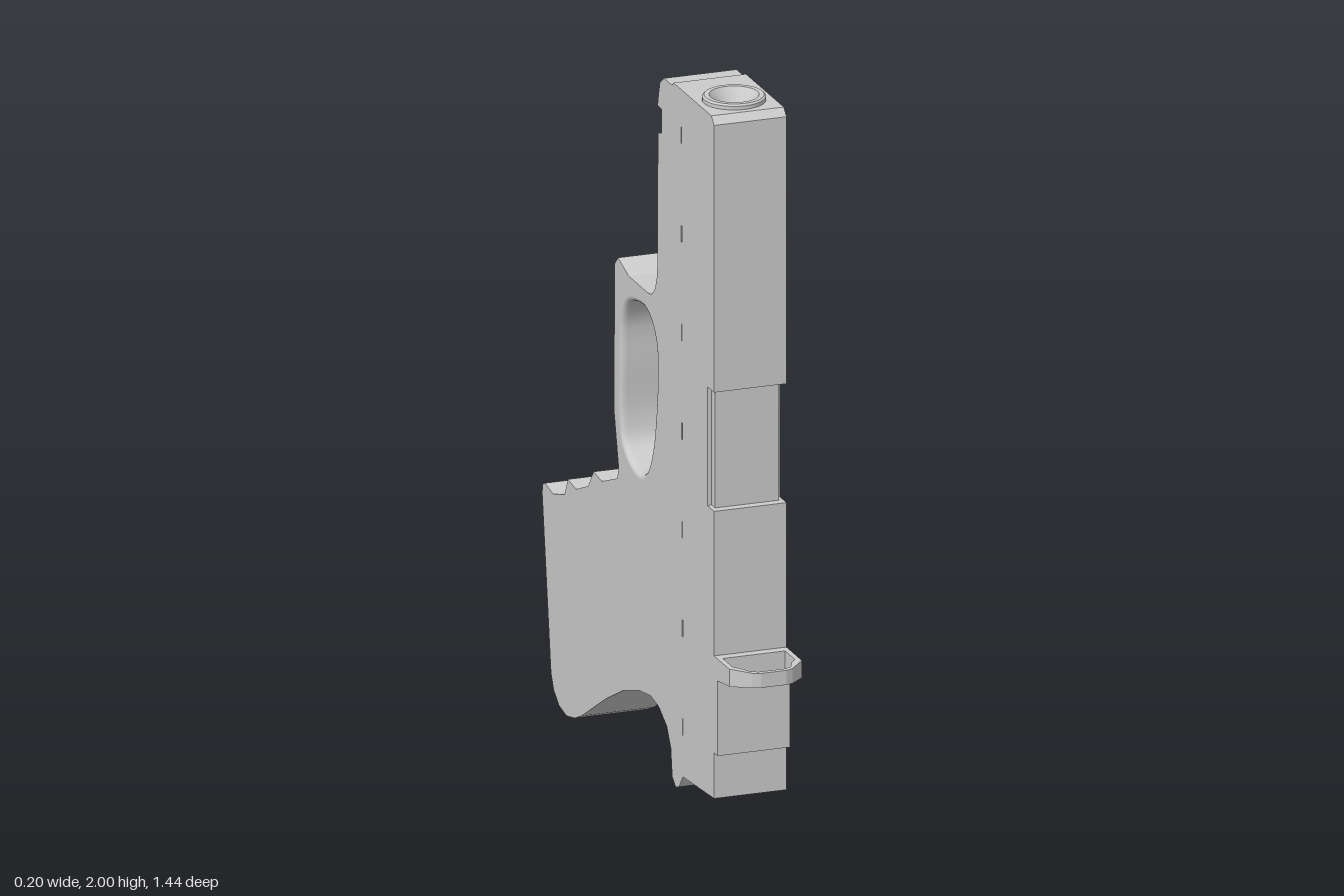
import * as THREE from 'three';
import { ParametricGeometry } from 'three/addons/geometries/ParametricGeometry.js';

const grey = new THREE.MeshStandardMaterial({ color: 0xcccccc, side: THREE.DoubleSide });
const HALF = 0.1, FILLET = 0.014;
const vec = (list) => list.map(([a, b]) => new THREE.Vector2(a, b));

// Side profile pieces as [z, y], running clockwise from the top front corner
const muzzleFlat = [[0.55, 1.965], [0.53, 1.985]];
const muzzleNotch = [[0.5, 1.985], [0.5, 1.86], [0.36, 1.86], [0.36, 1.985]];
const frame = [
  [0.25, 1.985], [0.24, 1.975], [0.18, 1.975], [0.15, 1.955], [0.14, 1.92], [0.132, 1.885],
  [0.162, 1.885], [0.162, 1.82], [0.135, 1.81], [0.13, 1.42], [0.115, 1.38], [0.09, 1.355],
  [0.06, 1.35], [-0.08, 1.35], [-0.16, 1.375], [-0.185, 1.35], [-0.19, 0.95], [-0.155, 0.8],
  [-0.165, 0.77], [-0.28, 0.725], [-0.34, 0.732], [-0.38, 0.68], [-0.47, 0.642], [-0.53, 0.65],
  [-0.555, 0.6], [-0.64, 0.575], [-0.7, 0.585], [-0.718, 0.575], [-0.72, 0.55],
];
const gripWell = [[-0.71, 0.48], [-0.65, 0.472], [-0.606, 0.153], [-0.666, 0.161]];
const rear = [
  [-0.655, 0.08], [-0.635, 0.04], [-0.595, 0.01], [-0.54, 0], [-0.48, 0.013], [-0.43, 0.035],
  [-0.25, 0.14], [-0.12, 0.205], [0, 0.243], [0.08, 0.255], [0.14, 0.245], [0.2, 0.21],
  [0.23, 0.16], [0.24, 0.085], [0.265, 0.065], [0.29, 0.073], [0.32, 0.11], [0.55, 0.125],
  [0.55, 0.25], [0.577, 0.25], [0.577, 0.515], [0.55, 0.515],
];
const port = (z) => [[0.55, 0.91], [z, 0.91], [z, 1.235], [0.55, 1.235]];

// Opening of the guard, as a smooth closed loop in (z, y)
const opening = new THREE.CatmullRomCurve3([
  [0.01, 1.3], [-0.09, 1.275], [-0.13, 1.22], [-0.14, 1.08], [-0.14, 0.94], [-0.12, 0.88],
  [-0.06, 0.843], [0, 0.835], [0.05, 0.86], [0.09, 0.93], [0.115, 1.04], [0.125, 1.15],
  [0.12, 1.22], [0.09, 1.27], [0.05, 1.295],
].map(([z, y]) => new THREE.Vector3(z, y, 0)), true);

function openingPoint(u, offset) {
  const p = opening.getPoint(u % 1), t = opening.getTangent(u % 1);
  return [p.x + t.y * offset, p.y - t.x * offset];
}
const openingHole = Array.from({ length: 60 }, (_, i) => openingPoint(i / 60, FILLET));

function createModel() {
  const model = new THREE.Group();
  const add = (name, geometry) => {
    const mesh = new THREE.Mesh(geometry, grey);
    mesh.name = name;
    model.add(mesh);
    return mesh;
  };

  // A slab of the side profile between two x positions
  const slab = (name, points, x0, x1, holes) => {
    const shape = new THREE.Shape(vec(points));
    holes.forEach((h) => shape.holes.push(new THREE.Path(vec(h))));
    const g = new THREE.ExtrudeGeometry(shape, { depth: x1 - x0, bevelEnabled: false });
    g.rotateY(-Math.PI / 2).translate(x1, 0, 0);
    add(name, g);
  };

  // Small marker slots down both sides
  const slots = [];
  for (let i = 0; i < 7; i++) {
    const y = 1.86 - i * 0.269, z = 0.307 + i * 0.002;
    slots.push([[z - 0.003, y - 0.023], [z + 0.003, y - 0.023], [z + 0.003, y + 0.023], [z - 0.003, y + 0.023]]);
  }

  // Body: core with bore and grip well, plain middle layers, outer skins with side cuts
  const core = [...muzzleFlat, ...muzzleNotch, ...frame, ...gripWell, ...rear, ...port(0.525)];
  const middle = [...muzzleFlat, ...frame, ...rear, ...port(0.525)];
  const skin = [...muzzleFlat, ...frame, ...rear, ...port(0.5)];
  slab('bodyCore', core, -0.065, 0.065, [openingHole]);
  for (const [side, s] of [['left', 1], ['right', -1]]) {
    const layer = (name, pts, a, b, holes) =>
      slab(side + name, pts, Math.min(s * a, s * b), Math.max(s * a, s * b), holes);
    layer('BodyLayer', middle, 0.065, 0.088, [openingHole]);
    layer('BodySkin', skin, 0.088, HALF, [openingHole, ...slots]);
  }

  // Smooth wall of the guard opening with rounded rims
  add('guardOpeningWall', new ParametricGeometry((u, v, target) => {
    const x = HALF * Math.sin(Math.PI * (v - 0.5));
    const d = Math.min(1, Math.max(0, (Math.abs(x) - 0.085) / 0.015));
    const [z, y] = openingPoint(u, FILLET * (1 - Math.sqrt(1 - d * d)));
    target.set(x, y, z);
  }, 60, 20));

  // Muzzle ring with a conical bore, and the block around it
  const ring = vec([[0, 1.89], [0.055, 1.985], [0.055, 1.985], [0.065, 2], [0.065, 2],
    [0.078, 2], [0.078, 2], [0.083, 1.995], [0.083, 1.995], [0.083, 1.98]]);
  add('muzzleRing', new THREE.LatheGeometry(ring, 40)).position.z = 0.43;
  const block = new THREE.Shape(vec([[-0.065, -0.07], [0.065, -0.07], [0.065, 0.07], [-0.065, 0.07]]));
  block.holes.push(new THREE.Path().absarc(0, 0, 0.058, 0, Math.PI * 2));
  const blockGeo = new THREE.ExtrudeGeometry(block, { depth: 0.125, bevelEnabled: false, curveSegments: 20 });
  blockGeo.rotateX(-Math.PI / 2).translate(0, 1.86, 0.43);
  add('muzzleBlock', blockGeo);

  // Loop at the front: flat outline in (x, z), with an underside that rises to the tip
  const loopOutline = (w, tip, z0) => [[-w, z0], [w, z0], [w, tip - 0.06], [w - 0.015, tip - 0.043],
    [0.055, tip - 0.008], [0.035, tip], [-0.035, tip], [-0.055, tip - 0.008],
    [-w + 0.015, tip - 0.043], [-w, tip - 0.06]];
  const loop = new THREE.Shape(vec(loopOutline(HALF, 0.723, 0.56)));
  loop.holes.push(new THREE.Path(vec(loopOutline(0.086, 0.709, 0.577))));
  const loopGeo = new THREE.ExtrudeGeometry(loop, { depth: 1, bevelEnabled: false });
  loopGeo.rotateX(Math.PI / 2);
  const p = loopGeo.attributes.position;
  for (let i = 0; i < p.count; i++) {
    const bottom = 0.455 + (p.getZ(i) - 0.577) * 0.14;
    p.setY(i, p.getY(i) < -0.5 ? bottom : 0.515);
  }
  loopGeo.computeVertexNormals();
  add('frontLoop', loopGeo);

  return model;
}

export { createModel };
